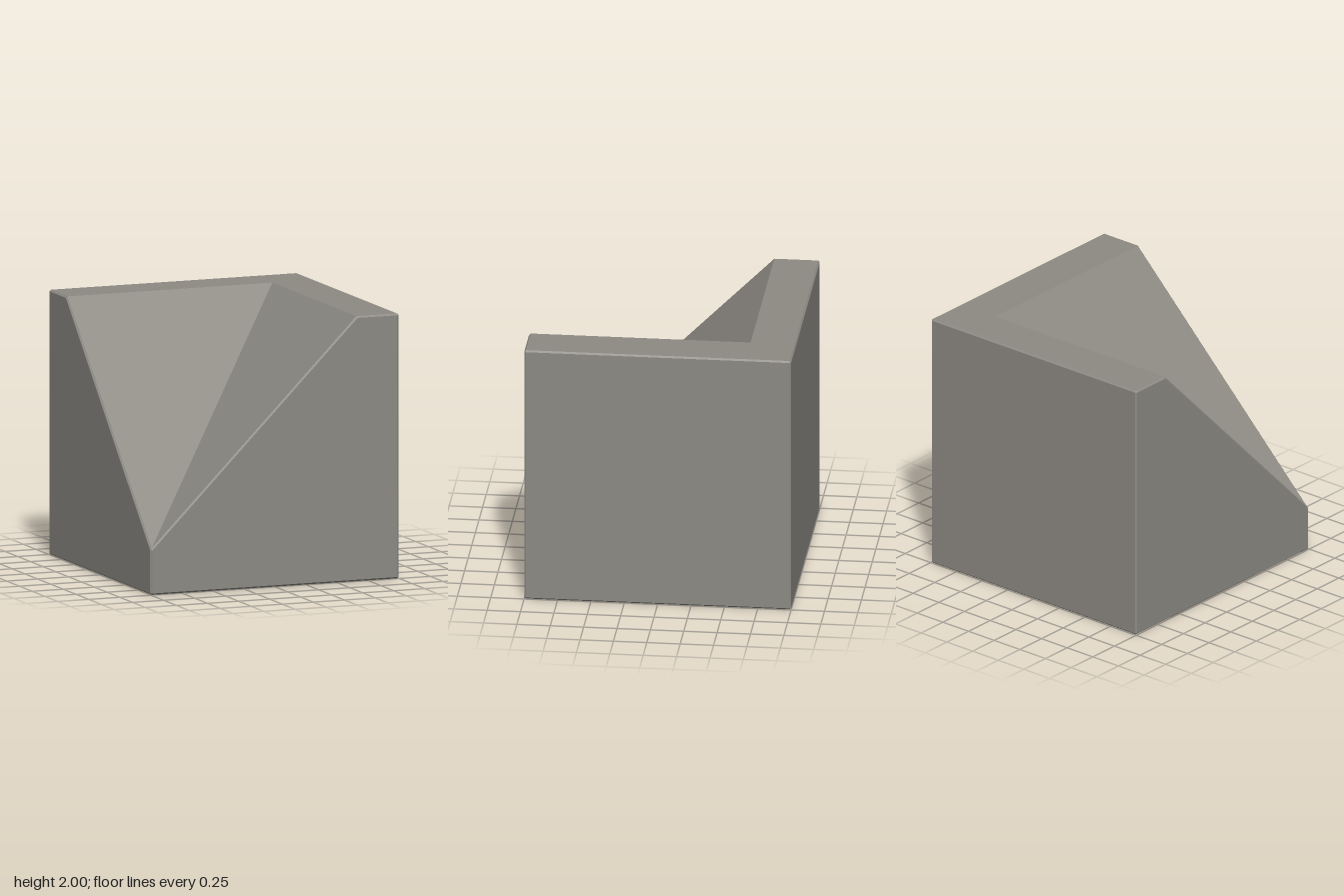
import * as THREE from 'three';
import { ConvexGeometry } from 'three/addons/geometries/ConvexGeometry.js';

const E = 0.012; // edge chamfer
const LOW = 0.34; // height of the low outer corner
const TOP = 0.66; // where the slope meets the flat top

// Side profile of one ramp, rising from left to right
const fullProfile = [
  [-1, E], [-1 + E, 0], [1 - E, 0], [1, E],
  [1, 2 - E], [1 - E, 2], [TOP, 2], [-1 + E, LOW + E], [-1, LOW - 0.4 * E],
];

// The same profile inset for the chamfered end faces
const endProfile = [
  [-1 + E, E], [1 - E, E], [1 - E, 2 - E],
  [TOP + 0.414 * E, 2 - E], [-1 + E, LOW - 0.414 * E],
];

// Chamfered ramp: place() turns profile x, y and depth into a point
function ramp(name, material, place) {
  const points = [];
  for (const side of [-1, 1]) {
    for (const [x, y] of fullProfile) points.push(place(x, y, side * (1 - E)));
    for (const [x, y] of endProfile) points.push(place(x, y, side));
  }
  const mesh = new THREE.Mesh(new ConvexGeometry(points), material);
  mesh.name = name;
  return mesh;
}

export function createModel() {
  const stone = new THREE.MeshStandardMaterial({ color: 0x8d8a84 });
  stone.name = 'warm grey';

  // Two crossing ramps meet in a diagonal valley below the L-shaped top
  const group = new THREE.Group();
  group.name = 'insideCornerSlope';
  group.add(
    ramp('sideRamp', stone, (x, y, d) => new THREE.Vector3(x, y, d)),
    ramp('backRamp', stone, (x, y, d) => new THREE.Vector3(d, y, -x)),
  );
  return group;
}
